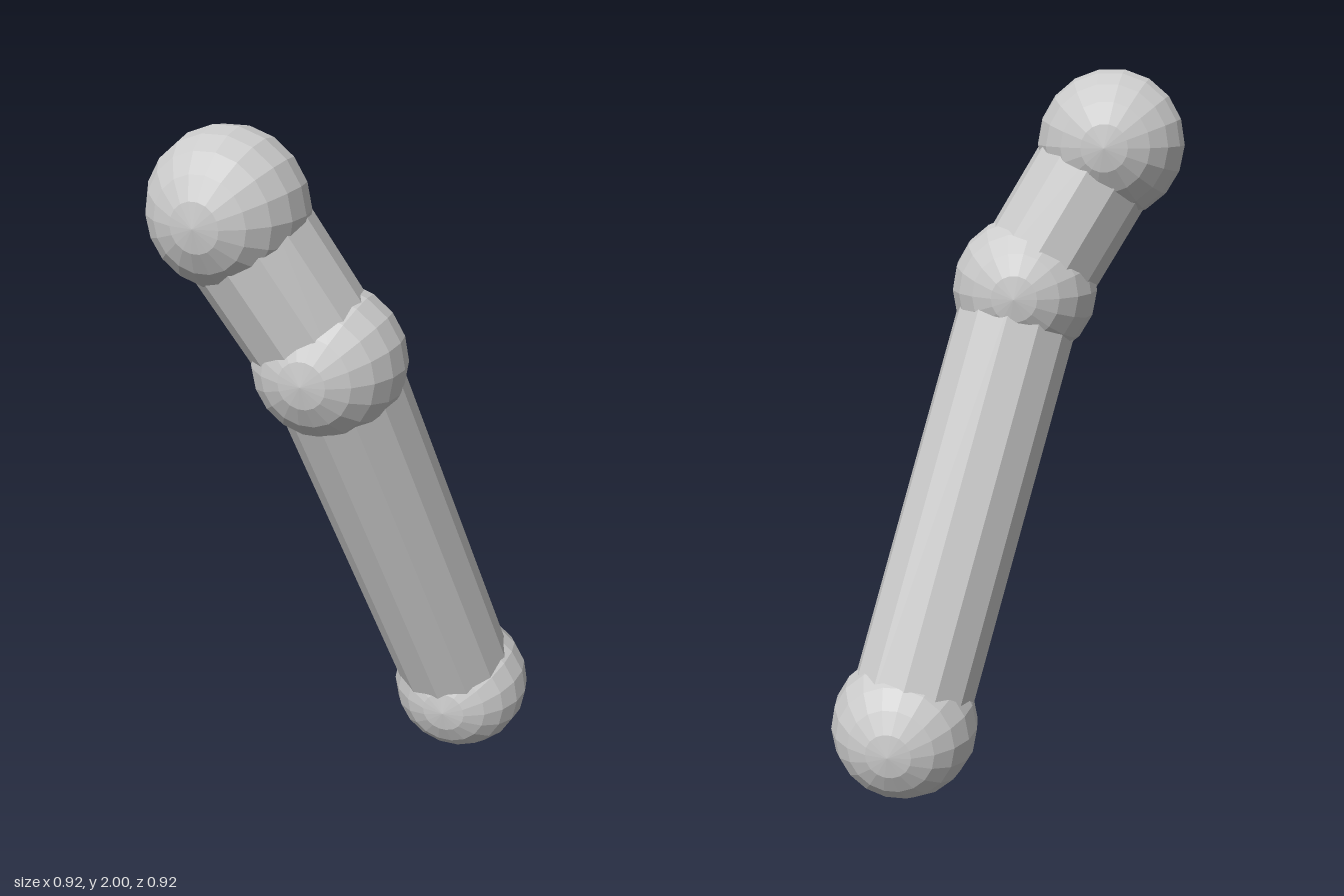
import * as THREE from 'three';

const material = new THREE.MeshStandardMaterial({ color: 0xcccccc, flatShading: true });
const JOINT_RADIUS = 0.208;
const ROD_RADIUS = 0.174;

// Faceted ball with its poles along z
function joint(name, center) {
  const geometry = new THREE.SphereGeometry(JOINT_RADIUS, 18, 10).rotateX(Math.PI / 2);
  const mesh = new THREE.Mesh(geometry, material);
  mesh.name = name;
  mesh.position.copy(center);
  return mesh;
}

// Twelve-sided rod running between two joint centres
function rod(name, from, to) {
  const geometry = new THREE.CylinderGeometry(ROD_RADIUS, ROD_RADIUS, from.distanceTo(to), 12);
  const mesh = new THREE.Mesh(geometry, material);
  mesh.name = name;
  mesh.position.lerpVectors(from, to, 0.5);
  const direction = to.clone().sub(from).normalize();
  mesh.quaternion.setFromUnitVectors(new THREE.Vector3(0, 1, 0), direction);
  return mesh;
}

export function createModel() {
  const group = new THREE.Group();
  group.name = 'jointedRod';

  const bottom = new THREE.Vector3(0.254, 0.206, -0.25);
  const middle = new THREE.Vector3(-0.023, 1.392, 0.164);
  const top = new THREE.Vector3(-0.254, 1.794, 0.25);

  group.add(
    joint('bottomJoint', bottom),
    joint('middleJoint', middle),
    joint('topJoint', top),
    rod('lowerRod', bottom, middle),
    rod('upperRod', middle, top),
  );
  return group;
}
